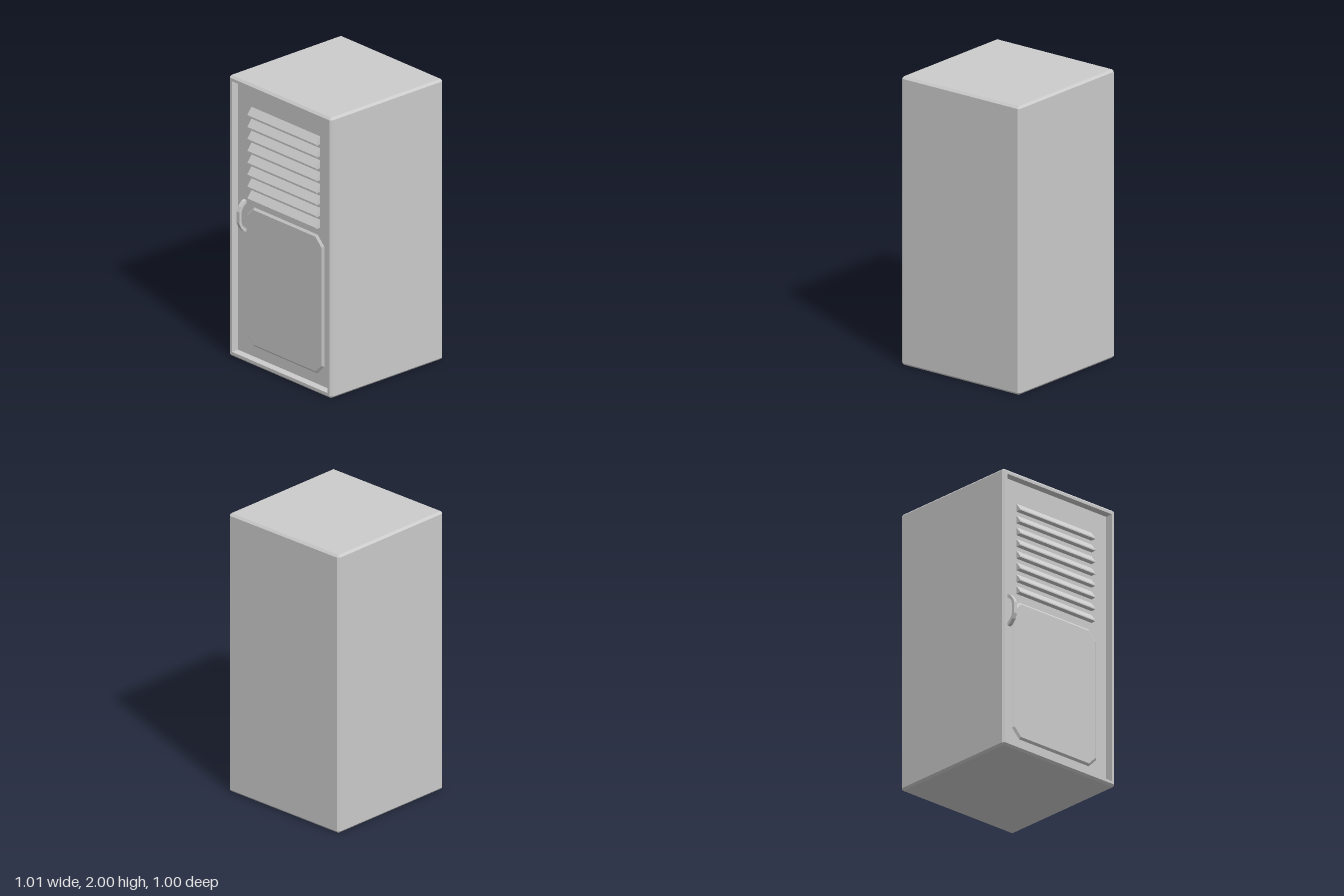
import * as THREE from 'three';

const X0 = -0.497;        // outer plane of the door side (-x)
const DOOR = X0 + 0.055;  // recessed door face

const material = new THREE.MeshStandardMaterial({ color: 0xcccccc, flatShading: true });

function part(name, geometry) {
  const mesh = new THREE.Mesh(geometry, material);
  mesh.name = name;
  return mesh;
}

// Rectangle with cut corners in the yz plane, counter-clockwise seen from +x
function ring(x, yc, hy, hz, c) {
  return [
    [hy, -hz + c], [hy, hz - c], [hy - c, hz], [-hy + c, hz],
    [-hy, hz - c], [-hy, -hz + c], [-hy + c, -hz], [hy - c, -hz],
  ].map(([y, z]) => [x, yc + y, z]);
}

// Closed skin over rings that run along the surface, starting from the +x end
function skin(rings) {
  const pos = [];
  const tri = (a, b, c) => pos.push(...a, ...b, ...c);
  const first = rings[0], last = rings[rings.length - 1], n = first.length;
  for (let i = 1; i < n - 1; i++) {
    tri(first[0], first[i], first[i + 1]);
    tri(last[0], last[i + 1], last[i]);
  }
  for (let k = 0; k < rings.length - 1; k++) {
    const a = rings[k], b = rings[k + 1];
    for (let i = 0; i < n; i++) {
      const j = (i + 1) % n;
      tri(a[i], b[i], a[j]);
      tri(b[i], b[j], a[j]);
    }
  }
  const g = new THREE.BufferGeometry();
  g.setAttribute('position', new THREE.Float32BufferAttribute(pos, 3));
  g.computeVertexNormals();
  return g;
}

// Profile in x (measured inward from the door side) and y, extruded along z
function profile(points, z, depth) {
  const shape = new THREE.Shape(points.map(([x, y]) => new THREE.Vector2(X0 + x, y)));
  return new THREE.ExtrudeGeometry(shape, { depth, bevelEnabled: false }).translate(0, 0, z);
}

export function createModel() {
  const model = new THREE.Group();
  model.name = 'locker';

  // Chamfered cabinet with a recess on the -x side
  const c = 0.015, rim = 0.035;
  model.add(part('cabinet', skin([
    ring(X0 + 1, 1, 1 - c, 0.5 - c, 0),
    ring(X0 + 1 - c, 1, 1, 0.5, c),
    ring(X0 + c, 1, 1, 0.5, c),
    ring(X0, 1, 1 - c, 0.5 - c, 0),
    ring(X0, 1, 1 - rim, 0.5 - rim, 0),
    ring(X0 + 0.09, 1, 1 - rim, 0.5 - rim, 0),
  ])));

  // Door slab
  const door = new THREE.Group();
  door.name = 'door';
  door.add(part('doorSlab', new THREE.BoxGeometry(0.05, 2 - 2 * rim, 1 - 2 * rim)
    .translate(DOOR + 0.025, 1, 0)));

  // Lower panel with cut corners and a bevelled edge
  door.add(part('lowerPanel', skin([
    ring(DOOR + 0.01, 0.605, 0.495, 0.375, 0.065),
    ring(DOOR, 0.605, 0.495, 0.375, 0.065),
    ring(DOOR - 0.012, 0.605, 0.48, 0.36, 0.058),
  ])));

  // Eight sloping vent slats
  const vents = new THREE.Group();
  vents.name = 'vents';
  for (let i = 0; i < 8; i++) {
    const y = 1.815 - i * 0.085;
    vents.add(part('ventSlat', profile(
      [[0.06, y], [0.018, y - 0.055], [0.018, y - 0.064], [0.06, y - 0.064]], -0.335, 0.67)));
  }
  door.add(vents);

  // Bowed handle
  const outer = [[0.06, 0.115], [0.035, 0.105], [0.008, 0.075], [-0.007, 0.04]];
  const inner = [[0.06, 0.09], [0.04, 0.08], [0.022, 0.06], [0.012, 0.03]];
  const at = (sign) => ([x, y]) => [x, 1.015 + sign * y];
  const bow = [
    ...outer.map(at(1)), ...outer.map(at(-1)).reverse(),
    ...inner.map(at(-1)), ...inner.map(at(1)).reverse(),
  ];
  door.add(part('handle', profile(bow, -0.412, 0.027)));

  model.add(door);
  return model;
}
